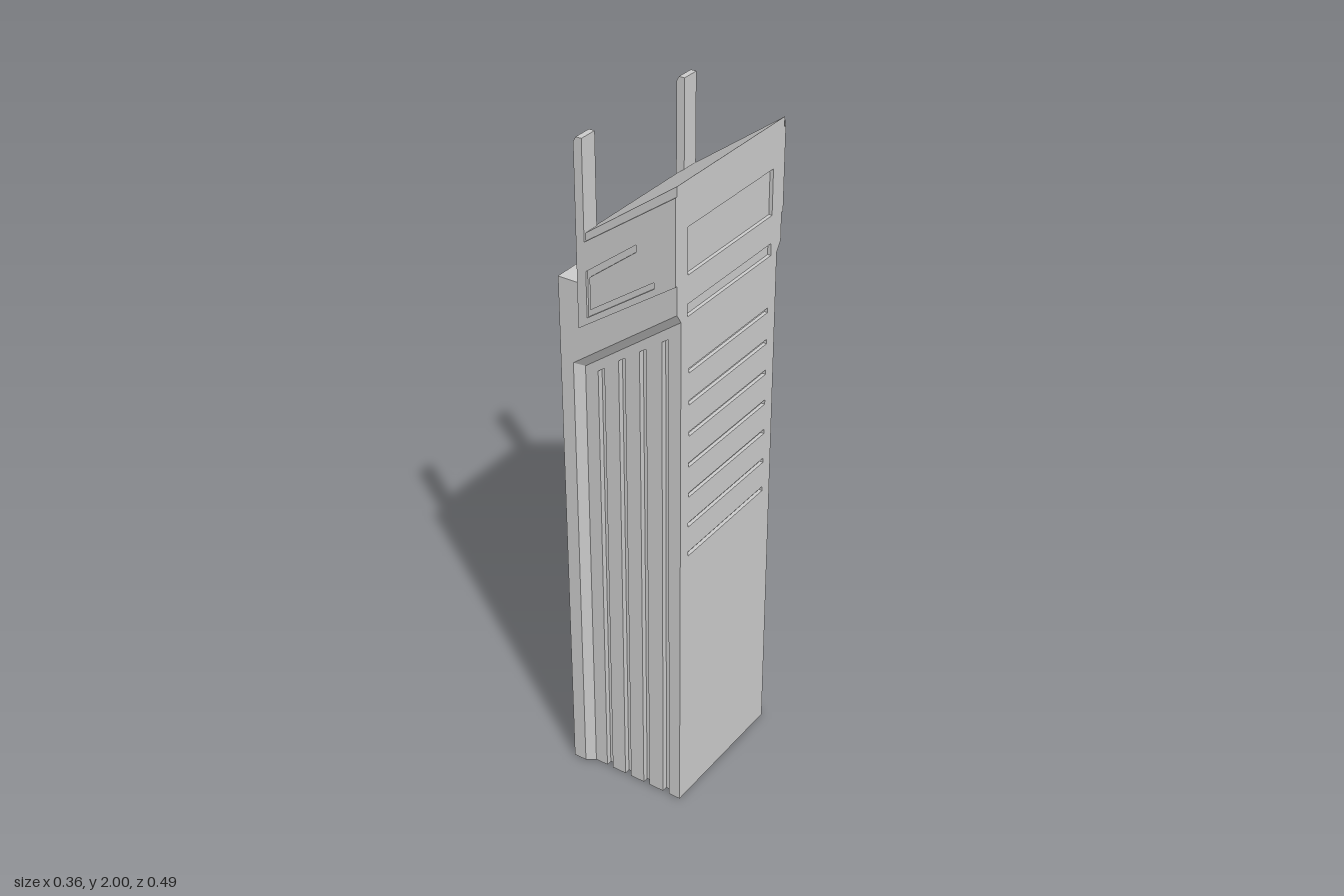
import * as THREE from 'three';

const mat = new THREE.MeshStandardMaterial({ color: 0xcccccc, flatShading: true });

const toVectors = (pts) => pts.map(([x, y]) => new THREE.Vector2(x, y));

// Extrude an outline (with optional holes) from depth a to depth b.
function slab(pts, a, b, holes = []) {
  const shape = new THREE.Shape(toVectors(pts));
  for (const h of holes) shape.holes.push(new THREE.Path(toVectors(h)));
  const g = new THREE.ExtrudeGeometry(shape, { depth: b - a, bevelEnabled: false });
  return g.translate(0, 0, a);
}

// Triangular bevel strip: raised line A at z = zHigh falls to line B at z = zLow.
function bevelStrip(A, B, zHigh, zLow, side) {
  const pos = [];
  const idx = [];
  A.forEach(([x, y], i) => {
    pos.push(x, y, side * zHigh, B[i][0], B[i][1], side * zLow, x, y, side * zLow);
  });
  const tri = (a, b, c) => (side > 0 ? idx.push(a, b, c) : idx.push(a, c, b));
  for (let i = 0; i < A.length - 1; i++) {
    for (let k = 0; k < 3; k++) {
      const p = i * 3 + k;
      const q = i * 3 + ((k + 1) % 3);
      tri(p, p + 3, q);
      tri(q, p + 3, q + 3);
    }
  }
  const e = (A.length - 1) * 3;
  tri(0, 1, 2);
  tri(e, e + 2, e + 1);
  const g = new THREE.BufferGeometry();
  g.setAttribute('position', new THREE.Float32BufferAttribute(pos, 3));
  g.setIndex(idx);
  const flat = g.toNonIndexed();
  flat.computeVertexNormals();
  return flat;
}

const rect = (w, y0, y1) => [[-w, y0], [w, y0], [w, y1], [-w, y1]];

export function createModel() {
  const group = new THREE.Group();
  const add = (name, geometry) => {
    const m = new THREE.Mesh(geometry, mat);
    m.name = name;
    group.add(m);
  };

  // Depths of the side layers
  const core = 0.205, panel = 0.222, frame = 0.24, plate = 0.247;

  // Tower core with the lower step behind the head
  add('towerCore', slab([
    [-0.18, 0], [0.17, 0], [0.17, 1.93], [-0.115, 1.715], [-0.115, 1.6], [-0.18, 1.6],
  ], -core, core));

  // Sloping roof
  add('slopedRoof', slab([
    [-0.115, 1.70], [0.18, 1.918], [0.18, 1.945], [-0.115, 1.728],
  ], -frame, frame));

  // Facade with recessed window, slot and vents
  const openings = [rect(0.193, 1.69, 1.82), rect(0.193, 1.575, 1.61)];
  for (let i = 0; i < 7; i++) {
    const y = 0.85 + i * 0.0945;
    openings.push(rect(0.185, y - 0.007, y + 0.007));
  }
  const facade = slab(rect(core, 0, 1.925), 0.17, 0.18, openings);
  add('facade', facade.rotateY(Math.PI / 2));

  // Lower side panel, with grooves open at the bottom
  const fluted = [[-0.14, 0]];
  [[-0.065, 1.355], [0, 1.407], [0.065, 1.455], [0.133, 1.505]].forEach(([x, y]) => {
    fluted.push([x - 0.01, 0], [x - 0.01, y - 0.007], [x + 0.01, y + 0.007], [x + 0.01, 0]);
  });
  fluted.push([0.18, 0], [0.18, 1.6], [-0.14, 1.36]);

  // Raised border and head
  const border = [
    [-0.18, 0], [-0.14, 0], [-0.14, 1.36], [0.18, 1.6], [0.18, 1.92],
    [-0.115, 1.705], [-0.115, 1.6], [-0.18, 1.6],
  ];
  const headPlate = [[-0.115, 1.473], [0.18, 1.68], [0.18, 1.918], [-0.115, 1.706]];
  const bracket = [
    [-0.087, 1.512], [0.118, 1.657], [0.118, 1.675], [-0.076, 1.538],
    [-0.076, 1.63], [0.066, 1.742], [0.066, 1.762], [-0.087, 1.643],
  ];
  const prong = [[-0.115, 1.70], [-0.09, 1.715], [-0.09, 2], [-0.107, 2], [-0.115, 1.985]];

  for (const side of [1, -1]) {
    const label = side > 0 ? 'front' : 'back';
    const layer = (name, pts, a, b, holes) =>
      add(label + name, side > 0 ? slab(pts, a, b, holes) : slab(pts, -b, -a, holes));

    layer('FlutedPanel', fluted, core, panel);
    layer('Border', border, core, frame);
    layer('HeadPlate', headPlate, frame, plate, [bracket]);
    layer('Prong', prong, 0.193, plate);

    // Bevel around the fluted panel
    add(label + 'PanelBevel', bevelStrip(
      [[-0.14, 0], [-0.14, 1.36], [0.18, 1.6]],
      [[-0.115, 0], [-0.115, 1.35], [0.18, 1.572]], frame, panel, -side));
    group.children[group.children.length - 1].geometry = bevelGeometry(side, frame, panel);

    // Bevel between head plate and roof
    add(label + 'RoofBevel', bevelStrip(
      [[0.18, 1.918], [-0.115, 1.706]],
      [[0.18, 1.945], [-0.115, 1.728]], plate, frame, side));
  }
  return group;
}

// Bevel running up the border and along the slanted head edge.
function bevelGeometry(side, high, low) {
  return bevelStrip(
    [[0.18, 1.6], [-0.14, 1.36], [-0.14, 0]],
    [[0.18, 1.572], [-0.115, 1.35], [-0.115, 0]], high, low, side);
}
